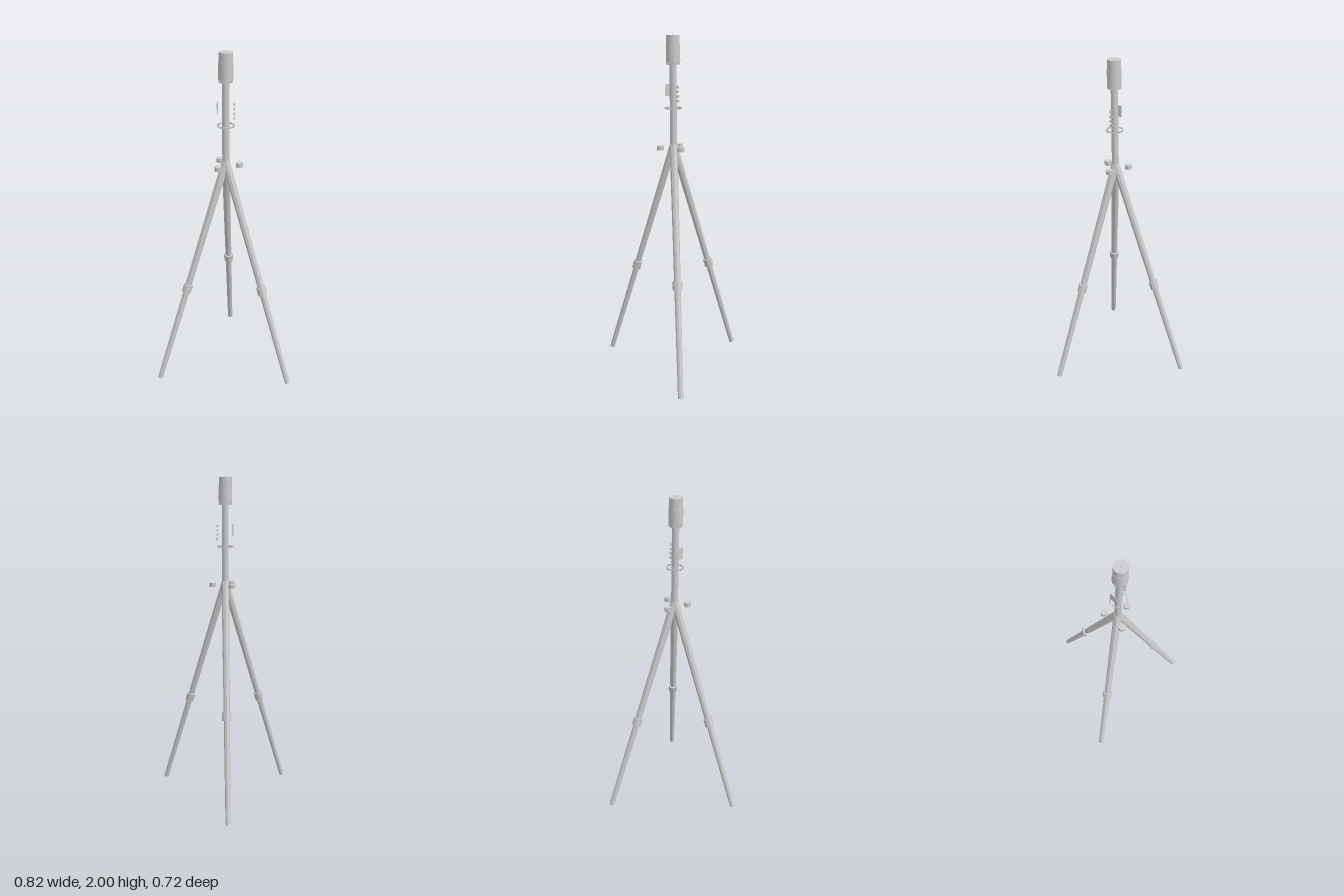
import * as THREE from 'three';

const AXIS_Z = 0.114; // the pole stands forward of the footprint centre

const grey = new THREE.MeshStandardMaterial({ color: 0xcccccc });
const greyFlat = new THREE.MeshStandardMaterial({ color: 0xcccccc, flatShading: true });
const greyThin = new THREE.MeshStandardMaterial({ color: 0xcccccc, side: THREE.DoubleSide });

function add(parent, name, geometry, material, x = 0, y = 0, z = 0) {
  const mesh = new THREE.Mesh(geometry, material);
  mesh.name = name;
  mesh.position.set(x, y, z);
  parent.add(mesh);
  return mesh;
}

// Upright cylinder given by its bottom and top heights
function post(parent, name, r, y0, y1, sides, material) {
  return add(parent, name, new THREE.CylinderGeometry(r, r, y1 - y0, sides), material, 0, (y0 + y1) / 2, 0);
}

// Ring of small blocks around the pole
function blockRing(parent, name, count, radius, y, size) {
  const ring = new THREE.Group();
  ring.name = name;
  const geometry = new THREE.BoxGeometry(...size);
  for (let i = 0; i < count; i++) {
    const a = (i / count) * Math.PI * 2;
    const block = add(ring, 'block', geometry, greyFlat, Math.cos(a) * radius, y, Math.sin(a) * radius);
    block.rotation.y = -a;
  }
  parent.add(ring);
}

// Tapered leg sloping outwards along local +x, with a clamp collar
function makeLeg() {
  const leg = new THREE.Group();
  leg.name = 'leg';
  const top = new THREE.Vector3(0, 1.382, 0);
  const foot = new THREE.Vector3(0.458, 0.005, 0);
  const dir = top.clone().sub(foot);
  const length = dir.length();
  const tilt = new THREE.Quaternion().setFromUnitVectors(new THREE.Vector3(0, 1, 0), dir.normalize());

  const tube = add(leg, 'legTube', new THREE.CylinderGeometry(0.023, 0.0155, length, 8), greyFlat);
  tube.position.lerpVectors(foot, top, 0.5);
  tube.quaternion.copy(tilt);

  const collar = add(leg, 'legCollar', new THREE.CylinderGeometry(0.028, 0.028, 0.052, 8), greyFlat);
  collar.position.lerpVectors(foot, top, 0.44);
  collar.quaternion.copy(tilt);
  return leg;
}

export function createModel() {
  const model = new THREE.Group();
  model.name = 'tripodStand';
  const body = new THREE.Group();
  body.name = 'stand';
  body.position.z = AXIS_Z;
  model.add(body);

  // Three legs and the knobs between them
  for (let i = 0; i < 3; i++) {
    const turn = (i * Math.PI * 2) / 3;
    const leg = makeLeg();
    leg.rotation.y = Math.PI / 2 + turn;
    body.add(leg);

    const knob = add(body, 'knob', new THREE.CylinderGeometry(0.021, 0.021, 0.025, 8), greyFlat,
      Math.cos(turn) * 0.076, 1.365, Math.sin(turn) * 0.076);
    knob.rotation.y = Math.PI / 8;
  }

  // Centre pole
  post(body, 'pole', 0.02, 1.36, 1.85, 12, grey);

  // Head: base, barrel and cap
  post(body, 'headBase', 0.037, 1.838, 1.856, 24, grey);
  post(body, 'headBarrel', 0.04, 1.853, 1.945, 24, grey);
  post(body, 'headCap', 0.038, 1.945, 1.999, 24, grey);
  add(body, 'capPin', new THREE.BoxGeometry(0.008, 0.004, 0.008), greyFlat, 0, 1.998, 0);
  blockRing(body, 'baseTeeth', 16, 0.0365, 1.847, [0.006, 0.014, 0.007]);

  // Small sockets on the side of the head
  add(body, 'socket', new THREE.BoxGeometry(0.006, 0.016, 0.014), greyFlat, 0.039, 1.88, 0);
  for (const z of [-0.02, 0.02]) {
    add(body, 'smallSocket', new THREE.BoxGeometry(0.006, 0.008, 0.008), greyFlat, 0.034, 1.864, z);
  }

  // Dotted ring, button column and thin panel around the pole
  blockRing(body, 'dottedRing', 24, 0.046, 1.595, [0.007, 0.008, 0.007]);
  for (let i = 0; i < 4; i++) {
    add(body, 'button', new THREE.BoxGeometry(0.008, 0.014, 0.013), greyFlat, 0.047, 1.638 + i * 0.026, 0);
  }
  add(body, 'panel', new THREE.BoxGeometry(0.003, 0.066, 0.04), greyThin, -0.046, 1.693, 0);

  return model;
}
